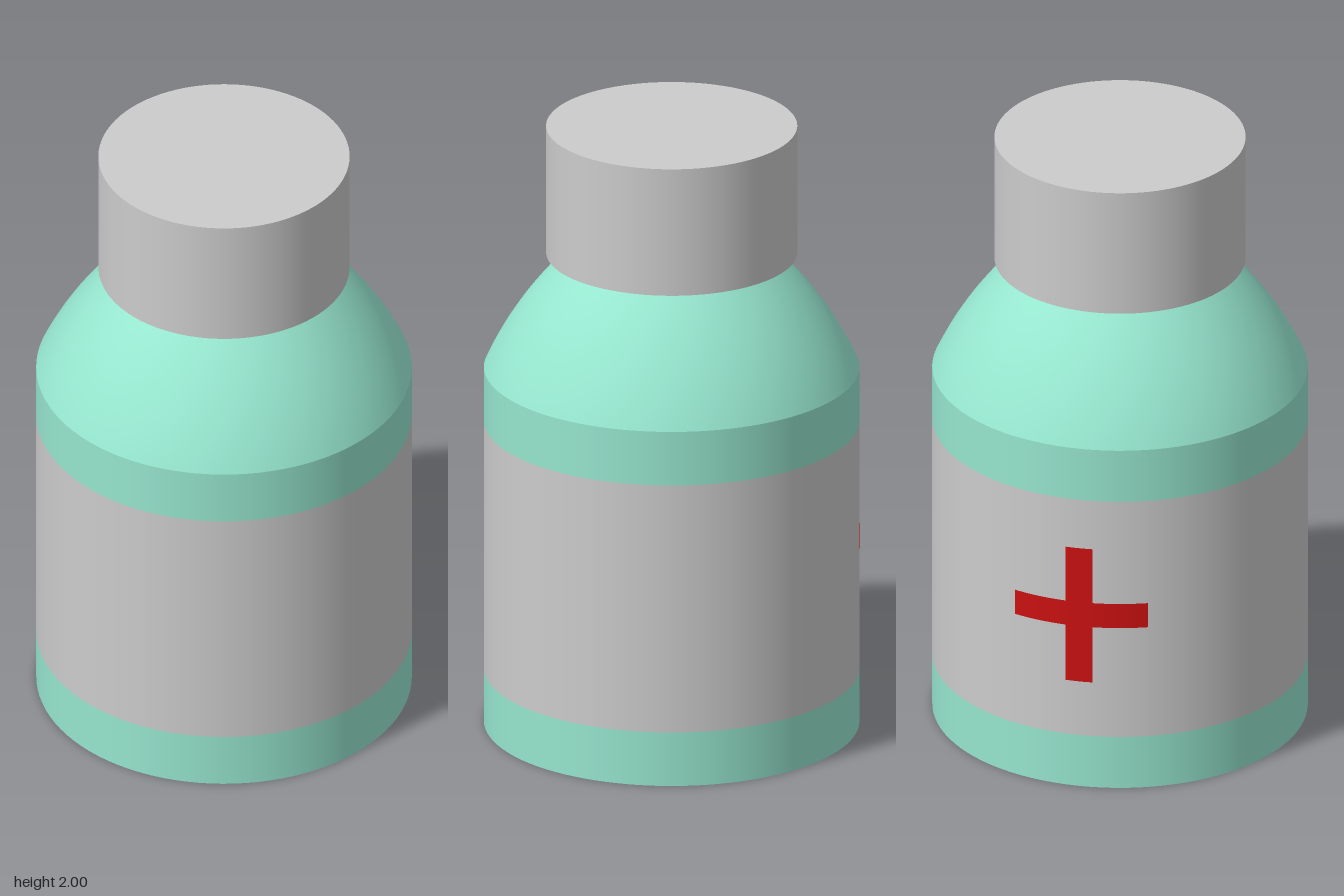
import * as THREE from 'three';

const SEG = 96;
const R = 0.592; // body radius
const mint = new THREE.MeshStandardMaterial({ color: 0x96e6ce });
const grey = new THREE.MeshStandardMaterial({ color: 0xcccccc });
const red = new THREE.MeshStandardMaterial({ color: 0xcc1111, side: THREE.DoubleSide });

function add(group, name, geometry, material) {
  const mesh = new THREE.Mesh(geometry, material);
  mesh.name = name;
  group.add(mesh);
  return mesh;
}

// Open cylindrical wall between two heights
function wall(radius, y0, y1, segments = SEG, start = 0, sweep = Math.PI * 2) {
  return new THREE.CylinderGeometry(radius, radius, y1 - y0, segments, 1, true, start, sweep)
    .translate(0, (y0 + y1) / 2, 0);
}

// Patch wrapped on the -x side of the body, half = half angle in radians
function patch(half, y0, y1) {
  return wall(R + 0.002, y0, y1, 16, -Math.PI / 2 - half, half * 2);
}

export function createModel() {
  const bottle = new THREE.Group();
  bottle.name = 'bottle';

  // Body: base disc, lower band, label, upper band
  add(bottle, 'base', new THREE.CircleGeometry(R, SEG).rotateX(Math.PI / 2), mint);
  add(bottle, 'lowerBand', wall(R, 0, 0.18), mint);
  add(bottle, 'label', wall(R, 0.18, 1.01), grey);
  add(bottle, 'upperBand', wall(R, 1.01, 1.19), mint);

  // Rounded shoulder and short neck
  const curve = new THREE.QuadraticBezierCurve(
    new THREE.Vector2(R, 1.19), new THREE.Vector2(0.5, 1.396), new THREE.Vector2(0.34, 1.555));
  add(bottle, 'shoulder', new THREE.LatheGeometry(curve.getPoints(20), SEG), mint);
  add(bottle, 'neck', wall(0.34, 1.555, 1.58), mint);

  // Cap
  add(bottle, 'cap', new THREE.CylinderGeometry(0.396, 0.396, 0.425, SEG).translate(0, 1.7875, 0), grey);

  // Plus sign wrapped on the label: one upright and two side arms
  const cross = new THREE.Group();
  cross.name = 'cross';
  const inner = 0.074, outer = 0.37, side = (outer - inner) / 2;
  add(cross, 'crossUpright', patch(inner, 0.37, 0.84), red);
  for (const s of [-1, 1]) {
    add(cross, s < 0 ? 'crossBackArm' : 'crossFrontArm',
      patch(side, 0.565, 0.65).rotateY(s * (inner + side)), red);
  }
  bottle.add(cross);

  return bottle;
}
